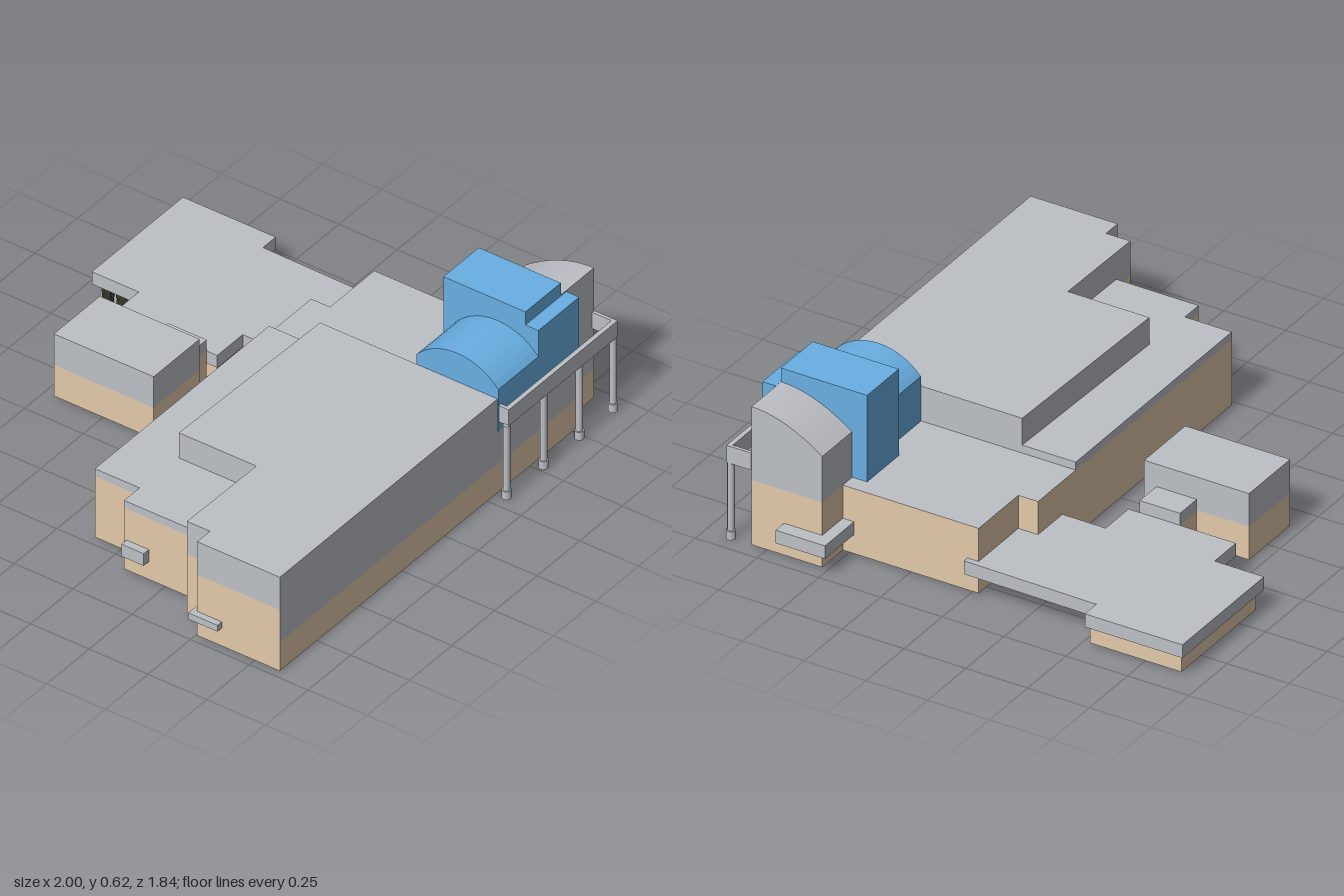
import * as THREE from 'three';

const paint = (name, hex) => {
  const m = new THREE.MeshStandardMaterial({ color: hex, side: THREE.DoubleSide });
  m.name = name;
  return m;
};

export function createModel() {
  const model = new THREE.Group();
  model.name = 'building';
  const grey = paint('grey', 0xbdc0c6);
  const tan = paint('tan', 0xe4caaa);
  const blue = paint('blue', 0x69b0e4);
  const olive = paint('dark olive', 0x34372a);

  const add = (name, geometry, material) => {
    const mesh = new THREE.Mesh(geometry, material);
    mesh.name = name;
    model.add(mesh);
  };

  const box = (name, x0, x1, y0, y1, z0, z1, material) =>
    add(name, new THREE.BoxGeometry(x1 - x0, y1 - y0, z1 - z0)
      .translate((x0 + x1) / 2, (y0 + y1) / 2, (z0 + z1) / 2), material);

  // Mesh from flat quads, each given as four corners
  const quads = (name, list, material) => {
    const g = new THREE.BufferGeometry();
    const pos = list.flatMap(([a, b, c, d]) => [a, b, c, a, c, d].flat());
    g.setAttribute('position', new THREE.Float32BufferAttribute(pos, 3));
    g.computeVertexNormals();
    add(name, g, material);
  };

  // Upright wall sheets around a plan outline of [x, z] corners;
  // low and high give the bottom and top height for each edge
  const walls = (name, pts, low, high, material) => {
    const list = [];
    pts.forEach((a, i) => {
      const b = pts[(i + 1) % pts.length];
      const y0 = low(a, b), y1 = high(a, b);
      if (y1 - y0 < 0.001) return;
      list.push([[a[0], y0, a[1]], [b[0], y0, b[1]], [b[0], y1, b[1]], [a[0], y1, a[1]]]);
    });
    quads(name, list, material);
  };

  // Flat sheet over a plan outline
  const sheet = (name, pts, y, material) => {
    const shape = new THREE.Shape(pts.map(([x, z]) => new THREE.Vector2(x, -z)));
    add(name, new THREE.ShapeGeometry(shape).rotateX(-Math.PI / 2).translate(0, y, 0), material);
  };

  // Hollow block, open below
  const shell = (name, pts, y0, y1, material) => {
    walls(name + 'Walls', pts, () => y0, () => y1, material);
    sheet(name + 'Roof', pts, y1, material);
  };

  // Hollow block with a side profile of [z, y] points, open between last and first
  const profileShell = (name, pts, x0, x1, material) => {
    const shape = new THREE.Shape(pts.map(p => new THREE.Vector2(...p)));
    for (const x of [x0, x1])
      add(name + 'End', new THREE.ShapeGeometry(shape).rotateY(-Math.PI / 2).translate(x, 0, 0), material);
    const list = pts.slice(1).map(([z, y], i) => {
      const [pz, py] = pts[i];
      return [[x0, py, pz], [x1, py, pz], [x1, y, z], [x0, y, z]];
    });
    quads(name + 'Cover', list, material);
  };

  const rect = (x0, x1, z0, z1) => [[x0, z0], [x1, z0], [x1, z1], [x0, z1]];
  const base = 0.007, eave = 0.268;

  // Main building: outer walls, tan with a grey upper band on the front
  const outline = [
    [-0.975, 0.862], [0.78, 0.862], [0.78, 0.807], [0.945, 0.807], [0.945, 0.52], [0.81, 0.52],
    [0.81, -0.03], [0.55, -0.03], [0.55, -0.11], [-0.72, -0.11], [-0.72, 0.08],
    [-0.81, 0.08], [-0.81, 0.413], [-0.9, 0.412], [-0.9, 0.51], [-0.975, 0.51],
  ];
  const split = (a, b) => (a[1] > 0.8 && a[1] === b[1] ? 0.13 : eave);
  walls('lowerWalls', outline, () => base, split, tan);
  walls('frontBand', outline, split, () => eave, grey);

  // Roof levels
  const upper = [
    [-0.975, 0.862], [0.303, 0.862], [0.303, 0.107], [-0.5, 0.088],
    [-0.5, 0.418], [-0.9, 0.412], [-0.9, 0.51], [-0.975, 0.51],
  ];
  const middle = [
    [-0.72, -0.11], [0.303, -0.11], [0.303, 0.107], [-0.5, 0.088],
    [-0.5, 0.418], [-0.81, 0.413], [-0.81, 0.08], [-0.72, 0.08],
  ];
  const east = [
    [0.303, -0.11], [0.55, -0.11], [0.55, -0.03], [0.81, -0.03], [0.81, 0.52], [0.303, 0.52],
  ];
  shell('upperStorey', upper, eave, 0.408, grey);
  shell('middleRoof', middle, eave, 0.3, grey);
  sheet('eastRoof', east, eave, grey);
  [upper, middle].forEach(p => sheet('ceiling', p, eave, grey));

  // Blue entrance: vaulted part, tall tower and front slab
  const half = 0.174, rise = 0.08;
  const radius = (half * half + rise * rise) / (2 * rise);
  const sweep = Math.asin(half / radius);
  const arch = [[0.864, eave]];
  for (let i = 0; i <= 14; i++) {
    const t = sweep * (1 - i / 7);
    arch.push([0.69 + radius * Math.sin(t), 0.528 - radius + radius * Math.cos(t)]);
  }
  arch.push([0.516, eave]);
  profileShell('entranceVault', arch, 0.305, 0.54, blue);
  shell('entranceTower', rect(0.54, 0.748, 0.46, 0.809), eave, 0.616, blue);
  shell('entranceFront', rect(0.54, 0.78, 0.809, 0.864), eave, 0.56, blue);

  // Grey side tower with a curved top
  const curve = new THREE.QuadraticBezierCurve(
    new THREE.Vector2(0.807, 0.562), new THREE.Vector2(0.67, 0.562), new THREE.Vector2(0.52, 0.452));
  const towerProfile = [[0.807, eave], ...curve.getPoints(10).map(p => [p.x, p.y]), [0.52, eave]];
  profileShell('curvedTower', towerProfile, 0.75, 0.945, grey);

  // Entrance portico: fascia panels on four posts
  box('porticoFascia', 0.308, 0.948, 0.308, 0.377, 0.888, 0.906, grey);
  box('porticoEnd', 0.935, 0.948, 0.308, 0.377, 0.807, 0.89, grey);
  box('porticoEnd', 0.308, 0.322, 0.308, 0.377, 0.862, 0.89, grey);
  for (const x of [0.308, 0.525, 0.735, 0.933]) {
    add('post', new THREE.CylinderGeometry(0.013, 0.013, 0.29, 12).translate(x, 0.165, 0.897), grey);
    add('postBase', new THREE.CylinderGeometry(0.018, 0.018, 0.034, 12).translate(x, 0.017, 0.897), grey);
  }

  // Door canopies wrapping the corners of the end walls
  box('eastCanopy', 0.945, 1.0, 0.083, 0.135, 0.475, 0.675, grey);
  box('eastCanopyReturn', 0.81, 0.945, 0.083, 0.135, 0.475, 0.52, grey);
  box('westCanopy', -1.0, -0.975, 0.083, 0.11, 0.49, 0.615, grey);
  box('westCanopyReturn', -0.975, -0.9, 0.083, 0.11, 0.49, 0.51, grey);
  box('northwestCanopy', -0.84, -0.81, 0.083, 0.135, 0.09, 0.185, grey);

  // Rear wing: roof edge and wall line, both running round from the main building
  const glassX = 0.705, soffitY = 0.082, wingTop = 0.135;
  const roofEdge = [
    [0.81, -0.03], [0.81, 0.015], [0.833, 0.015], [0.84, -0.525], [0.915, -0.525], [0.915, -0.92],
    [0.38, -0.92], [0.38, -0.72], [0.24, -0.72], [0.24, -0.285], [0.39, -0.285], [0.39, -0.11],
  ];
  const wallLine = [
    [0.41, -0.11], [0.41, -0.3], [0.26, -0.3], [0.26, -0.7], [0.4, -0.7], [0.4, -0.9],
    [0.89, -0.9], [0.89, -0.53], [glassX, -0.53], [glassX, -0.03],
  ];

  // Overhanging roof with a blue underside outside the walls
  shell('wingRoof', [...roofEdge, [0.55, -0.11], [0.55, -0.03]], soffitY, wingTop, grey);
  sheet('wingSoffit', [...roofEdge, ...wallLine], soffitY, blue);

  // Wing walls, grey where they are glazed
  const wing = [...wallLine, [0.55, -0.03], [0.55, -0.11]];
  const glazed = (a, b) => a[0] === b[0] && (a[0] === glassX || a[0] === 0.4);
  walls('wingWalls', wing, () => base, (a, b) => (glazed(a, b) ? base : wingTop), tan);
  walls('glazedWalls', wing, () => base, (a, b) => (glazed(a, b) ? wingTop : base), grey);

  // Patterned windows on the glazed walls
  const motif = (x, z) => {
    const bar = (d, y0, y1, w) => box('windowPattern', x - d, x + d, y0, y1, z - w, z + w, olive);
    bar(0.002, 0.052, 0.073, 0.026);
    bar(0.002, 0.028, 0.047, 0.024);
    bar(0.003, 0.015, 0.08, 0.014);
  };
  for (let i = 0; i < 8; i++) motif(glassX + 0.002, -0.05 - i * 0.063);
  for (let i = 0; i < 3; i++) motif(0.398, -0.865 + i * 0.063);

  // Detached rear block and its link to the wing
  const annex = rect(-0.14, 0.13, -0.705, -0.28);
  walls('annexLowerWalls', annex, () => base, () => 0.14, tan);
  shell('annexUpper', annex, 0.14, 0.273, grey);
  const link = rect(0.13, 0.24, -0.493, -0.33);
  walls('linkLowerWalls', link, () => base, () => 0.135, tan);
  shell('linkUpper', link, 0.135, 0.183, grey);

  return model;
}
